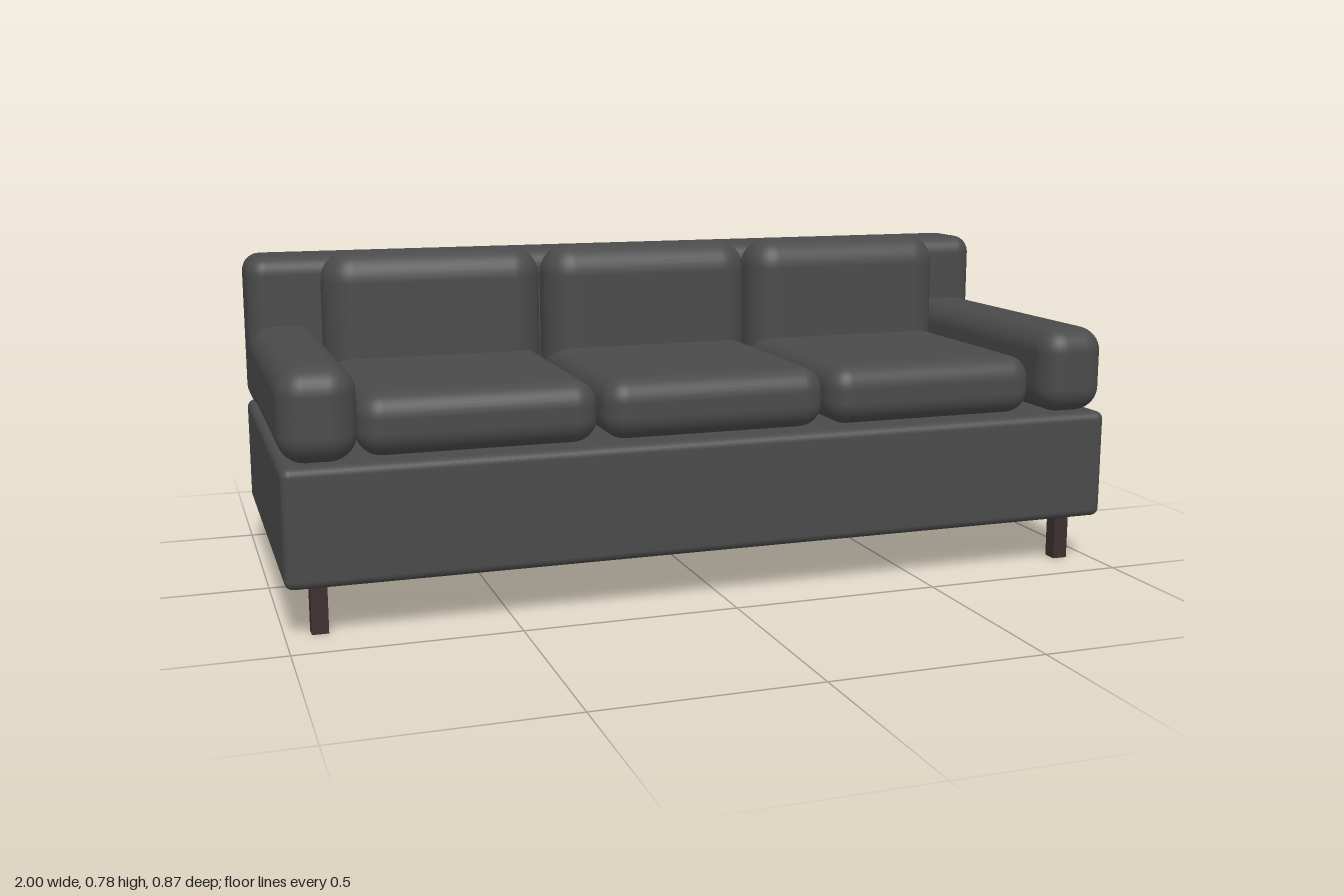
import * as THREE from 'three';
import { RoundedBoxGeometry } from 'three/addons/geometries/RoundedBoxGeometry.js';

export function createModel() {
  const sofa = new THREE.Group();
  sofa.name = 'sofa';

  const fabric = new THREE.MeshStandardMaterial({ color: 0x4a4a4a });
  fabric.name = 'charcoal fabric';
  const wood = new THREE.MeshStandardMaterial({ color: 0x3d2f2f });
  wood.name = 'dark wood';

  // Adds a soft block spanning the given [min, max] ranges
  function block(name, x, y, z, radius) {
    const size = [x, y, z].map(([a, b]) => b - a);
    const mesh = new THREE.Mesh(new RoundedBoxGeometry(...size, 5, radius), fabric);
    mesh.position.set((x[0] + x[1]) / 2, (y[0] + y[1]) / 2, (z[0] + z[1]) / 2);
    mesh.name = name;
    sofa.add(mesh);
  }

  // Base and backrest
  block('base', [-1, 1], [0.117, 0.383], [-0.437, 0.437], 0.02);
  block('backrest', [-1, 1], [0.383, 0.763], [-0.437, -0.247], 0.045);

  // Armrests, tucked into the backrest
  block('leftArmrest', [0.83, 1], [0.383, 0.592], [-0.34, 0.437], 0.06);
  block('rightArmrest', [-1, -0.83], [0.383, 0.592], [-0.34, 0.437], 0.06);

  // Three seat cushions, each with a back cushion
  ['right', 'middle', 'left'].forEach((side, i) => {
    const x0 = -0.83 + i * 0.552;
    const x = [x0, x0 + 0.541];
    block(side + 'SeatCushion', x, [0.383, 0.525], [-0.26, 0.405], 0.055);
    block(side + 'BackCushion', x, [0.42, 0.782], [-0.256, -0.095], 0.074);
  });

  // Four square legs
  const legGeometry = new THREE.BoxGeometry(0.037, 0.125, 0.037);
  for (const [sx, side] of [[1, 'Left'], [-1, 'Right']]) {
    for (const [sz, end] of [[1, 'front'], [-1, 'back']]) {
      const leg = new THREE.Mesh(legGeometry, wood);
      leg.position.set(sx * 0.924, 0.0625, sz * 0.362);
      leg.name = end + side + 'Leg';
      sofa.add(leg);
    }
  }
  return sofa;
}
